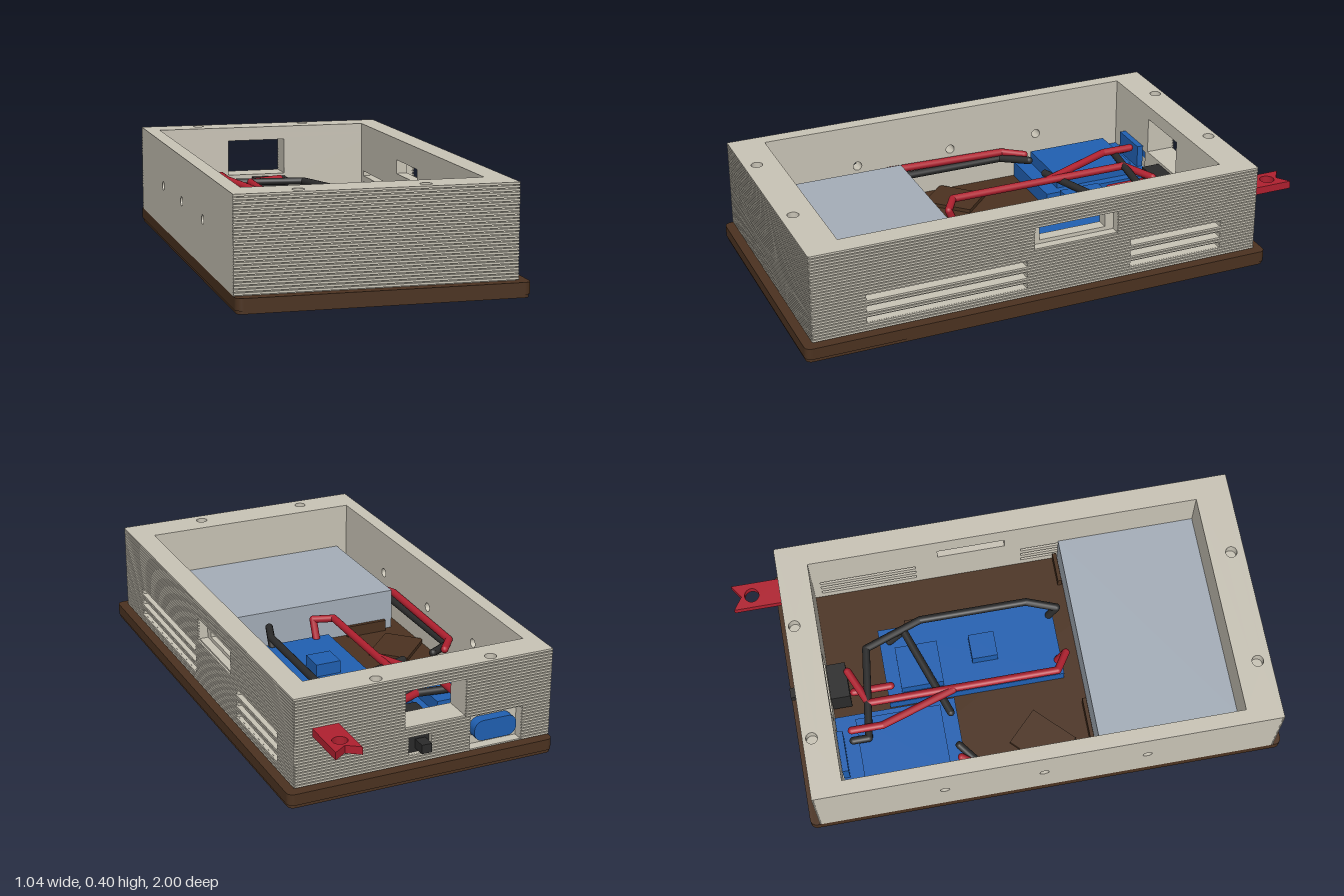
import * as THREE from 'three';

const mat = (name, color) => {
  const m = new THREE.MeshStandardMaterial({ color });
  m.name = name;
  return m;
};

export function createModel() {
  const model = new THREE.Group();
  const shell = mat('warm grey shell', 0xc9c4b6), brown = mat('dark brown', 0x4b3220);
  const blue = mat('blue', 0x2060b2), red = mat('red', 0xb0202f);
  const black = mat('black', 0x2b2b2b), steel = mat('blue grey', 0xa5aeb9);

  const add = (name, geo, m, parent = model) => {
    const mesh = new THREE.Mesh(geo, m);
    mesh.name = name;
    parent.add(mesh);
    return mesh;
  };
  // Box given by its limits on each axis
  const box = (name, m, x0, x1, y0, y1, z0, z1, parent) => {
    const g = new THREE.BoxGeometry(x1 - x0, y1 - y0, z1 - z0);
    return add(name, g.translate((x0 + x1) / 2, (y0 + y1) / 2, (z0 + z1) / 2), m, parent);
  };
  const rect = (C, x0, x1, y0, y1, r = 0) => {
    const s = new C();
    if (!r) return s.setFromPoints([[x0, y0], [x1, y0], [x1, y1], [x0, y1], [x0, y0]].map(p => new THREE.Vector2(...p)));
    s.absarc(x1 - r, y0 + r, r, -Math.PI / 2, 0);
    s.absarc(x1 - r, y1 - r, r, 0, Math.PI / 2);
    s.absarc(x0 + r, y1 - r, r, Math.PI / 2, Math.PI);
    s.absarc(x0 + r, y0 + r, r, Math.PI, Math.PI * 1.5);
    s.closePath();
    return s;
  };
  const circle = (x, y, r) => new THREE.Path().absarc(x, y, r, 0, Math.PI * 2);
  const extrude = (shape, depth, holes = []) => {
    shape.holes.push(...holes);
    return new THREE.ExtrudeGeometry(shape, { depth, bevelEnabled: false, curveSegments: 10 });
  };
  // Shape drawn in x and z, raised from y0 to y1
  const slab = (shape, y0, y1, holes) =>
    extrude(shape, y1 - y0, holes).rotateX(Math.PI / 2).translate(0, y1, 0);
  const openings = list => list.map(h => rect(THREE.Path, ...h));

  // Base with a shallow recess and round feet underneath
  const base = new THREE.Group();
  base.name = 'base';
  model.add(base);
  add('basePlate', slab(rect(THREE.Shape, -0.525, 0.52, -0.845, 1, 0.025), 0.012, 0.055), brown, base);
  add('baseRim', slab(rect(THREE.Shape, -0.521, 0.516, -0.841, 0.996, 0.022), 0, 0.012,
    [rect(THREE.Path, -0.485, 0.48, -0.805, 0.96, 0.02)]), brown, base);
  for (const x of [-0.41, 0.405]) for (const z of [-0.73, 0.885]) {
    add('foot', new THREE.CylinderGeometry(0.05, 0.05, 0.01, 24).translate(x, 0.007, z), brown, base);
  }

  // Shell walls; each opening is [u0, u1, y0, y1]
  const Y0 = 0.055, Y1 = 0.36, TOP = 0.4, D = 0.007;
  const caseGroup = new THREE.Group();
  caseGroup.name = 'shell';
  model.add(caseGroup);
  const slots = [];
  for (const y of [0.09, 0.135, 0.18]) slots.push([-0.76, -0.14, y, y + 0.02], [0.28, 0.66, y, y + 0.02]);
  const windowOuter = [-0.11, 0.225, 0.245, 0.33], windowInner = [-0.075, 0.19, 0.26, 0.315];
  const backHoles = [[-0.18, 0.06, 0.2, 0.345], [-0.41, -0.2, 0.06, 0.19], [-0.045, 0.045, 0.09, 0.16]];

  const frontSpan = [-0.525, 0.485 - D];
  add('frontWall', extrude(rect(THREE.Shape, ...frontSpan, Y0, Y1), 0.128)
    .translate(0, 0, 0.83), shell, caseGroup);
  add('backWall', extrude(rect(THREE.Shape, ...frontSpan, Y0, Y1), 0.113, openings(backHoles))
    .translate(0, 0, -0.803), shell, caseGroup);
  // Side walls are drawn with u = -z
  const sideWall = (name, x, depth, holes) =>
    add(name, extrude(rect(THREE.Shape, -0.83, 0.69, Y0, Y1), depth, holes)
      .rotateY(Math.PI / 2).translate(x, 0, 0), shell, caseGroup);
  sideWall('leftmostWall', -0.525, 0.055, [-0.457, -0.06, 0.32].map(u => circle(u, 0.227, 0.018)));
  sideWall('ventWallInner', 0.4, 0.045, openings([...slots, windowInner]));
  sideWall('ventWallOuter', 0.445, 0.04 - D, openings([...slots, windowOuter]));

  // Top frame with screw holes
  const screws = [];
  for (const x of [-0.29, 0.16]) for (const z of [-0.775, 0.915]) screws.push(circle(x, z, 0.022));
  const frame = rect(THREE.Shape, -0.525, 0.485 - D, -0.81 + D, 0.965 - D);
  add('topFrame', slab(frame, Y1, TOP, [rect(THREE.Path, -0.47, 0.4, -0.69, 0.83), ...screws]), shell, caseGroup);

  // Fine horizontal ribs, interrupted at the openings
  const N = 30, pitch = (TOP - Y0) / N;
  const ribs = (name, a, b, holes, place) => {
    const g = new THREE.Group();
    g.name = name;
    caseGroup.add(g);
    for (let i = 0; i < N; i++) {
      const y0 = Y0 + (i + 0.3) * pitch, y1 = Y0 + (i + 1) * pitch;
      const cuts = holes.filter(h => h[2] < y1 - 0.002 && h[3] > y0 + 0.002).sort((p, q) => p[0] - q[0]);
      let start = a;
      for (const [c0, c1] of [...cuts, [b, b]]) {
        if (c0 > start) place(start, c0, y0, y1, g);
        start = Math.max(start, c1);
      }
    }
  };
  ribs('frontRibs', -0.525, 0.482, [], (a, b, y0, y1, g) =>
    box('rib', shell, a, b, y0, y1, 0.965 - D, 0.965, g));
  ribs('backRibs', -0.525, 0.482, backHoles, (a, b, y0, y1, g) =>
    box('rib', shell, a, b, y0, y1, -0.81, -0.81 + D, g));
  ribs('sideRibs', -0.962, 0.807, [...slots, windowOuter], (a, b, y0, y1, g) =>
    box('rib', shell, 0.485 - D, 0.485, y0, y1, -b, -a, g));

  // Battery and its retaining ribs
  box('battery', steel, -0.425, 0.399, 0.056, 0.22, 0.29, 0.829);
  box('batteryStop', brown, -0.39, -0.22, 0.05, 0.1, 0.27, 0.285);
  box('batteryStop', brown, 0.28, 0.4, 0.05, 0.1, 0.27, 0.285);
  const pad = add('floorPad', new THREE.BoxGeometry(0.16, 0.02, 0.2), brown);
  pad.position.set(-0.35, 0.06, 0.09);
  pad.rotation.y = -Math.PI / 4;

  // Circuit boards with raised parts
  box('rearBoard', blue, -0.465, -0.135, 0.056, 0.12, -0.689, -0.22);
  box('rearBoardModule', blue, -0.43, -0.17, 0.12, 0.17, -0.61, -0.28);
  box('rearBoardSocket', blue, -0.38, -0.22, 0.12, 0.21, -0.689, -0.665);
  box('mainBoard', blue, -0.11, 0.195, 0.056, 0.11, -0.47, 0.22);
  box('mainBoardModule', blue, -0.075, 0.095, 0.11, 0.16, -0.415, -0.25);
  box('mainBoardChip', blue, -0.005, 0.095, 0.11, 0.16, -0.125, -0.025);
  box('boardClip', brown, 0.195, 0.215, 0.05, 0.12, -0.36, -0.27);
  box('boardClip', brown, 0.195, 0.215, 0.05, 0.12, 0.02, 0.11);

  // Rear connector and switch
  box('connectorPlate', shell, -0.41, -0.2, 0.06, 0.19, -0.765, -0.755);
  add('connector', extrude(rect(THREE.Shape, -0.39, -0.22, 0.085, 0.165, 0.035), 0.05)
    .translate(0, 0, -0.805), blue);
  box('switchBody', black, -0.08, 0.06, 0.065, 0.19, -0.689, -0.615);
  box('switchNeck', black, -0.045, 0.045, 0.09, 0.16, -0.79, -0.689);
  box('switchLever', black, -0.03, 0.01, 0.105, 0.14, -0.843, -0.79);

  // Notched hanging tab with a hole
  const tab = new THREE.Shape([[0.315, -0.8], [0.415, -0.8], [0.415, -1], [0.365, -0.965], [0.315, -1]]
    .map(p => new THREE.Vector2(...p)));
  add('hangingTab', slab(tab, 0.245, 0.275, [circle(0.365, -0.925, 0.028)]), red);

  // Wires: straight runs with rounded joints
  const wire = (name, m, points, r = 0.015) => {
    const g = new THREE.Group();
    g.name = name;
    model.add(g);
    const p = points.map(q => new THREE.Vector3(q[0], q[2] ?? 0.19, q[1]));
    p.forEach((v, i) => {
      add('joint', new THREE.SphereGeometry(r, 12, 8), m, g).position.copy(v);
      if (!i) return;
      const d = v.clone().sub(p[i - 1]);
      const run = add('run', new THREE.CylinderGeometry(r, r, d.length(), 12), m, g);
      run.position.copy(v).addScaledVector(d, -0.5);
      run.quaternion.setFromUnitVectors(new THREE.Vector3(0, 1, 0), d.normalize());
    });
  };
  wire('redWireRear', red, [[-0.225, -0.63, 0.21], [-0.225, -0.51, 0.21], [-0.125, -0.22]]);
  wire('redWireLong', red, [[0.02, -0.61], [-0.12, -0.55], [-0.12, 0.19], [-0.05, 0.235, 0.18], [-0.05, 0.205, 0.11]]);
  wire('redWireShort', red, [[-0.05, -0.6, 0.14], [-0.05, -0.455, 0.14]]);
  wire('redBatteryWire', red, [[-0.395, -0.235, 0.18], [-0.453, -0.16, 0.18], [-0.453, 0.33], [-0.44, 0.36]]);
  wire('blackWireLong', black, [[-0.26, -0.63], [-0.26, -0.57], [0.1, -0.525], [0.18, -0.3], [0.18, 0.12],
    [0.14, 0.235, 0.18], [0.14, 0.205, 0.11]]);
  wire('blackWireShort', black, [[0.14, -0.43, 0.12], [0.15, -0.37, 0.18], [-0.21, -0.245, 0.175]]);
  wire('blackBatteryWire', black, [[-0.345, -0.235, 0.175], [-0.45, -0.15, 0.155], [-0.45, 0.34, 0.155], [-0.44, 0.37, 0.155]]);

  return model;
}
